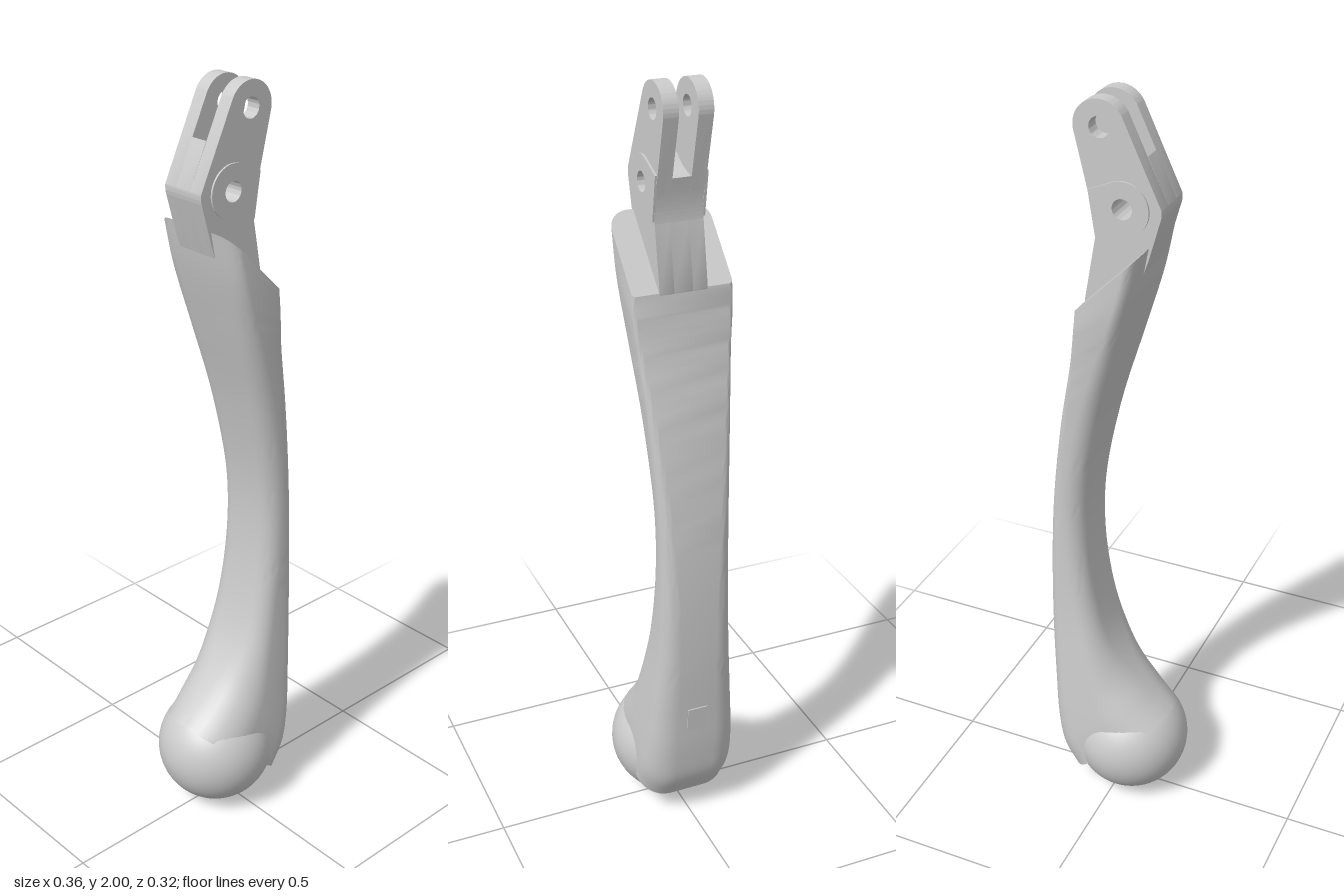
import * as THREE from 'three';
import { toCreasedNormals } from 'three/addons/utils/BufferGeometryUtils.js';

const material = new THREE.MeshStandardMaterial({ color: 0xcccccc });
const PIVOT = [-0.025, 1.755], TIP = [0.033, 1.937], HOLE = 0.025;

function addMesh(group, name, geometry, crease = 0.6) {
  const mesh = new THREE.Mesh(crease ? toCreasedNormals(geometry, crease) : geometry, material);
  mesh.name = name;
  group.add(mesh);
  return mesh;
}

function punch(shape, [x, y]) {
  const hole = new THREE.Path();
  hole.absarc(x, y, HOLE, 0, Math.PI * 2, true);
  shape.holes.push(hole);
}

// Slab of a front-facing outline between two depths
function slab(shape, z0, z1) {
  return new THREE.ExtrudeGeometry(shape, { depth: z1 - z0, bevelEnabled: false, curveSegments: 28 })
    .translate(0, 0, z0);
}

// Handle: inner edge (x, y), outer edge (x, y), half width, inner and outer corner radius
const SECTIONS = [
  [-0.145, 0.27, 0.11, 0.06, 0.13, 0.125, 0.08],
  [-0.09, 0.325, 0.15, 0.13, 0.13, 0.115, 0.08],
  [-0.03, 0.40, 0.165, 0.22, 0.123, 0.1, 0.07],
  [0.02, 0.49, 0.173, 0.36, 0.112, 0.07, 0.06],
  [0.055, 0.61, 0.18, 0.53, 0.1, 0.055, 0.05],
  [0.077, 0.78, 0.178, 0.75, 0.094, 0.05, 0.04],
  [0.075, 0.95, 0.163, 0.95, 0.096, 0.05, 0.03],
  [0.035, 1.18, 0.128, 1.18, 0.108, 0.05, 0.02],
  [-0.025, 1.40, 0.09, 1.36, 0.122, 0.05, 0.012],
  [-0.068, 1.56, 0.076, 1.45, 0.13, 0.05, 0.01],
  [-0.09, 1.67, 0.07, 1.51, 0.13, 0.05, 0.01],
];

function handleGeometry() {
  const spline = (pick) => new THREE.CatmullRomCurve3(SECTIONS.map((s) => new THREE.Vector3(...pick(s))));
  const inner = spline((s) => [s[0], s[1], s[4]]);
  const outer = spline((s) => [s[2], s[3], s[4]]);
  const radii = spline((s) => [s[5], s[6], s[1]]);
  const rings = 60, steps = 8, count = 4 * (steps + 1);
  const positions = [], index = [];

  for (let i = 0; i <= rings; i++) {
    const L = inner.getPoint(i / rings), R = outer.getPoint(i / rings), r = radii.getPoint(i / rings);
    const w = (L.z + R.z) / 2;
    const half = Math.hypot(R.x - L.x, R.y - L.y) / 2;
    for (let c = 0; c < 4; c++) {
      const su = c === 0 || c === 3 ? 1 : -1, sv = c < 2 ? 1 : -1;
      const rad = su > 0 ? r.y : r.x;
      for (let k = 0; k <= steps; k++) {
        const a = (c + k / steps) * Math.PI / 2;
        const u = su * (half - rad) + rad * Math.cos(a);
        const v = sv * (w - rad) + rad * Math.sin(a);
        const t = (u / half + 1) / 2;
        positions.push(L.x + (R.x - L.x) * t, L.y + (R.y - L.y) * t, v);
      }
    }
  }
  for (let i = 0; i < rings; i++) {
    for (let j = 0; j < count; j++) {
      const a = i * count + j, b = i * count + (j + 1) % count;
      index.push(a, a + count, b, b, a + count, b + count);
    }
  }
  // Flat end caps
  const first = SECTIONS[0], last = SECTIONS[SECTIONS.length - 1];
  const base = positions.length / 3;
  for (const s of [first, last]) positions.push((s[0] + s[2]) / 2, (s[1] + s[3]) / 2, 0);
  for (let j = 0; j < count; j++) {
    const n = (j + 1) % count, top = rings * count;
    index.push(base, j, n, base + 1, top + n, top + j);
  }
  const geometry = new THREE.BufferGeometry();
  geometry.setAttribute('position', new THREE.Float32BufferAttribute(positions, 3));
  geometry.setIndex(index);
  return geometry;
}

// Lower outline shared by the fork plates and the core between them
function neckOutline(shape) {
  shape.moveTo(-0.12, 1.765);
  shape.quadraticCurveTo(-0.122, 1.75, -0.115, 1.73);
  shape.lineTo(-0.09, 1.64);
  shape.lineTo(-0.03, 1.47);
  shape.lineTo(0.06, 1.48);
  shape.lineTo(0.073, 1.51);
  shape.lineTo(0.045, 1.67);
  shape.quadraticCurveTo(0.044, 1.705, 0.052, 1.745);
}

function forkShape() {
  const shape = new THREE.Shape();
  neckOutline(shape);
  shape.absarc(...TIP, 0.064, -0.26, 2.7, false);
  shape.closePath();
  punch(shape, PIVOT);
  punch(shape, TIP);
  return shape;
}

function coreShape() {
  const shape = new THREE.Shape();
  neckOutline(shape);
  shape.lineTo(0.06, 1.78);
  shape.quadraticCurveTo(-0.03, 1.79, -0.07, 1.872);
  shape.closePath();
  punch(shape, PIVOT);
  return shape;
}

function padShape() {
  const shape = new THREE.Shape();
  shape.moveTo(0.042, 1.676);
  shape.lineTo(0.06, 1.79);
  shape.absarc(...PIVOT, 0.066, 1.3, 4.3, false);
  shape.closePath();
  punch(shape, PIVOT);
  return shape;
}

export function createModel() {
  const model = new THREE.Group();
  model.name = 'lever';

  // Ball end and curved grip
  const ball = addMesh(model, 'ball', new THREE.SphereGeometry(0.158, 56, 36), 0);
  ball.position.set(-0.025, 0.158, 0);
  addMesh(model, 'handle', handleGeometry());

  // Small catch low on the outer face
  const catchBlock = addMesh(model, 'catch', new THREE.BoxGeometry(0.012, 0.07, 0.055));
  catchBlock.position.set(0.1685, 0.34, 0);
  catchBlock.rotation.z = -0.07;

  // Forked neck with pivot holes
  const neck = new THREE.Group();
  neck.name = 'forkedNeck';
  model.add(neck);
  addMesh(neck, 'neckCore', slab(coreShape(), -0.024, 0.024));
  for (const [side, s] of [['left', 1], ['right', -1]]) {
    const span = (a, b) => (s > 0 ? [a, b] : [-b, -a]);
    addMesh(neck, side + 'ForkPlate', slab(forkShape(), ...span(0.024, 0.062)));
    addMesh(neck, side + 'PivotPad', slab(padShape(), ...span(0.06, 0.067)));
  }
  return model;
}
